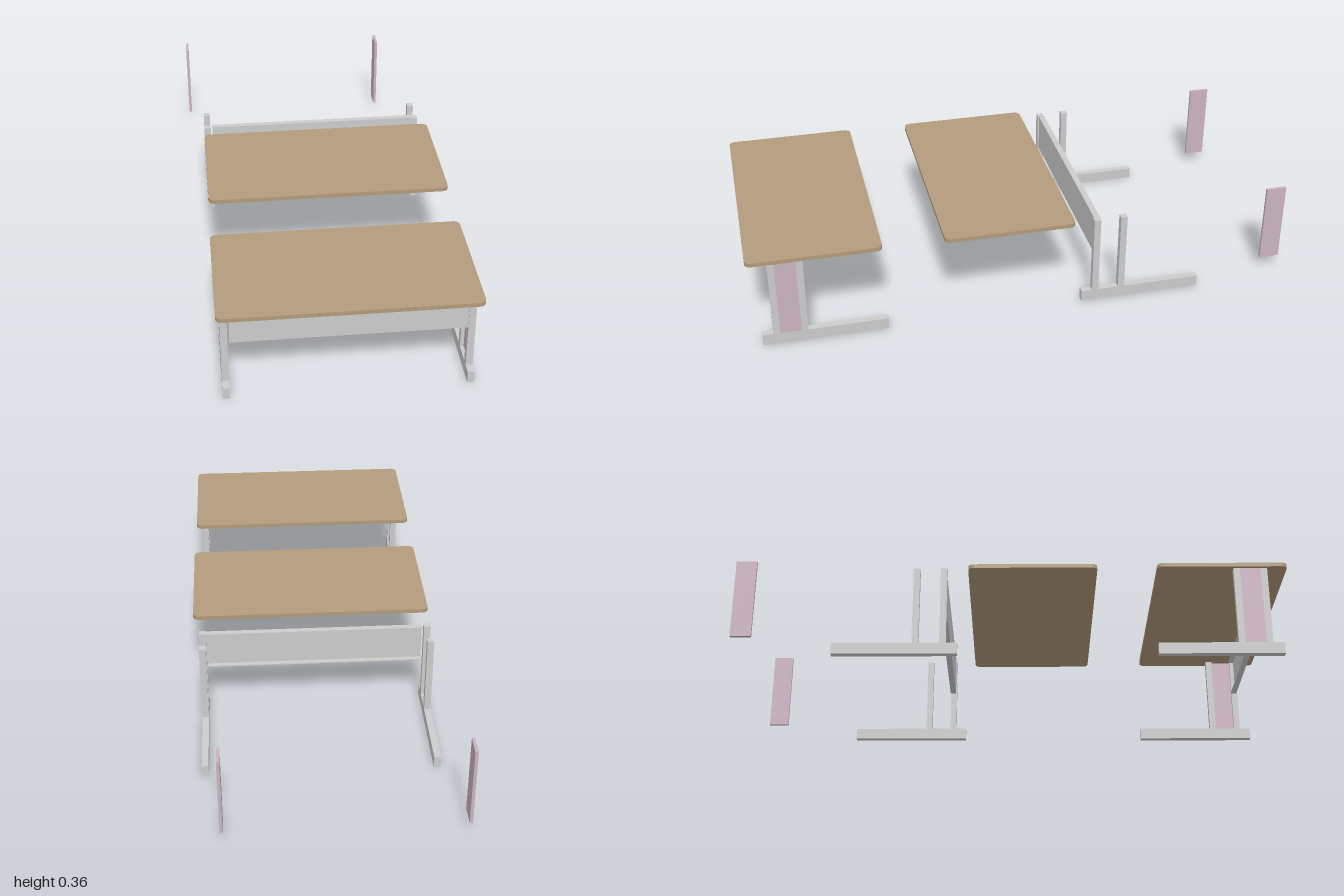
import * as THREE from 'three';

const metal = new THREE.MeshStandardMaterial({ color: 0xcccccc });
const wood = new THREE.MeshStandardMaterial({ color: 0xb39b7c });
const cover = new THREE.MeshStandardMaterial({ color: 0xcbb3c0 });

const FOOT_H = 0.043, TOP_Y = 0.343, TOP_T = 0.015;
const BAR = 0.024;        // width of feet and posts
const HALF = 0.411;       // frame centre to foot centre line
const POSTS = [-0.252, -0.351];

// Box given by its lower and upper corners
function box(name, material, [x0, y0, z0], [x1, y1, z1]) {
  const mesh = new THREE.Mesh(new THREE.BoxGeometry(x1 - x0, y1 - y0, z1 - z0), material);
  mesh.position.set((x0 + x1) / 2, (y0 + y1) / 2, (z0 + z1) / 2);
  mesh.name = name;
  return mesh;
}

// Table top: rounded rectangle lying flat, centred on x and z
function tableTop() {
  const w = 0.436, d = 0.2365, r = 0.022;
  const s = new THREE.Shape();
  s.absarc(w - r, d - r, r, 0, Math.PI / 2);
  s.absarc(-w + r, d - r, r, Math.PI / 2, Math.PI);
  s.absarc(-w + r, -d + r, r, Math.PI, Math.PI * 1.5);
  s.absarc(w - r, -d + r, r, Math.PI * 1.5, Math.PI * 2);
  s.closePath();
  const geometry = new THREE.ExtrudeGeometry(s, { depth: TOP_T, bevelEnabled: false, curveSegments: 6 });
  geometry.rotateX(-Math.PI / 2);
  const mesh = new THREE.Mesh(geometry, wood);
  mesh.name = 'tableTop';
  return mesh;
}

// Two T-shaped legs joined by a folded sheet panel
function frame() {
  const g = new THREE.Group();
  g.name = 'frame';
  for (const side of [-1, 1]) {
    const leg = new THREE.Group();
    leg.name = side < 0 ? 'rightLeg' : 'leftLeg';
    const x0 = side * HALF - BAR / 2, x1 = x0 + BAR;
    leg.add(box('foot', metal, [x0, 0, -0.649], [x1, FOOT_H, -0.2]));
    for (const z of POSTS) {
      leg.add(box('post', metal, [x0, FOOT_H, z - BAR / 2], [x1, TOP_Y, z + BAR / 2]));
    }
    g.add(leg);
  }
  // Modesty panel with flanges folded towards the back
  const x0 = -0.393, x1 = 0.399, y0 = 0.2, zf = -0.244, zb = -0.266, t = 0.004;
  g.add(box('modestyPanel', metal, [x0, y0, zf - t], [x1, TOP_Y, zf]));
  g.add(box('lowerFlange', metal, [x0, y0, zb], [x1, y0 + t, zf - t]));
  g.add(box('upperFlange', metal, [x0, TOP_Y - t, zb], [x1, TOP_Y, zf - t]));
  return g;
}

// Cover plate that fills the gap between two posts
function coverPlate(x, z) {
  const w = 0.0055, d = 0.0375;
  return box('coverPlate', cover, [x - w, FOOT_H, z - d], [x + w, TOP_Y, z + d]);
}

export function createModel() {
  const model = new THREE.Group();
  model.name = 'desk';

  // Complete desk at the front
  const assembled = new THREE.Group();
  assembled.name = 'assembledDesk';
  const base = frame();
  base.position.set(0.02, 0, 1.167);
  const top = tableTop();
  top.position.set(0.02, TOP_Y, 0.7635);
  assembled.add(base, top);
  for (const side of [-1, 1]) {
    assembled.add(coverPlate(0.02 + side * (HALF + BAR / 2 - 0.0055), 0.8655));
  }

  // The same parts laid out separately behind it
  const parts = new THREE.Group();
  parts.name = 'separateParts';
  const looseFrame = frame();
  looseFrame.position.x = 0.015;
  const looseTop = tableTop();
  looseTop.position.set(0.025, TOP_Y, 0.0715);
  parts.add(looseFrame, looseTop);
  for (const x of [-0.46, 0.37]) parts.add(coverPlate(x, -0.9625));

  model.add(assembled, parts);
  return model;
}
